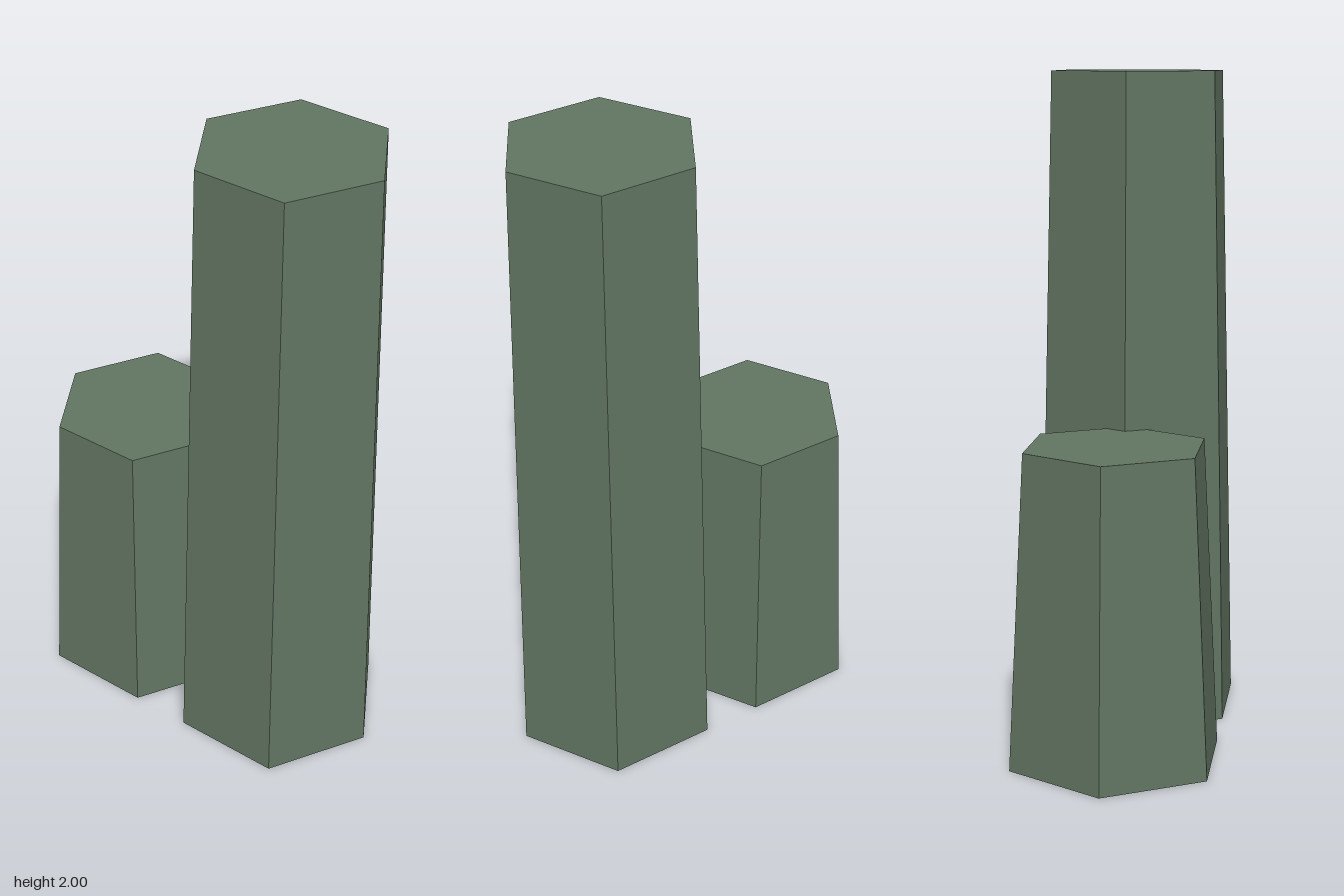
import * as THREE from 'three';

const mossStone = new THREE.MeshStandardMaterial({ color: 0x627562, flatShading: true });
mossStone.name = 'mossStone';

// Tapered six-sided column standing on the ground, with corners on its x axis
function column(name, x, height) {
  const geometry = new THREE.CylinderGeometry(0.283, 0.333, height, 6, 1, false, Math.PI / 6);
  geometry.translate(0, height / 2, 0);
  const mesh = new THREE.Mesh(geometry, mossStone);
  mesh.name = name;
  mesh.position.x = x;
  return mesh;
}

export function createModel() {
  const model = new THREE.Group();
  model.name = 'hexagonalColumns';
  model.add(column('tallColumn', 0.26, 2), column('shortColumn', -0.26, 0.94));
  return model;
}
